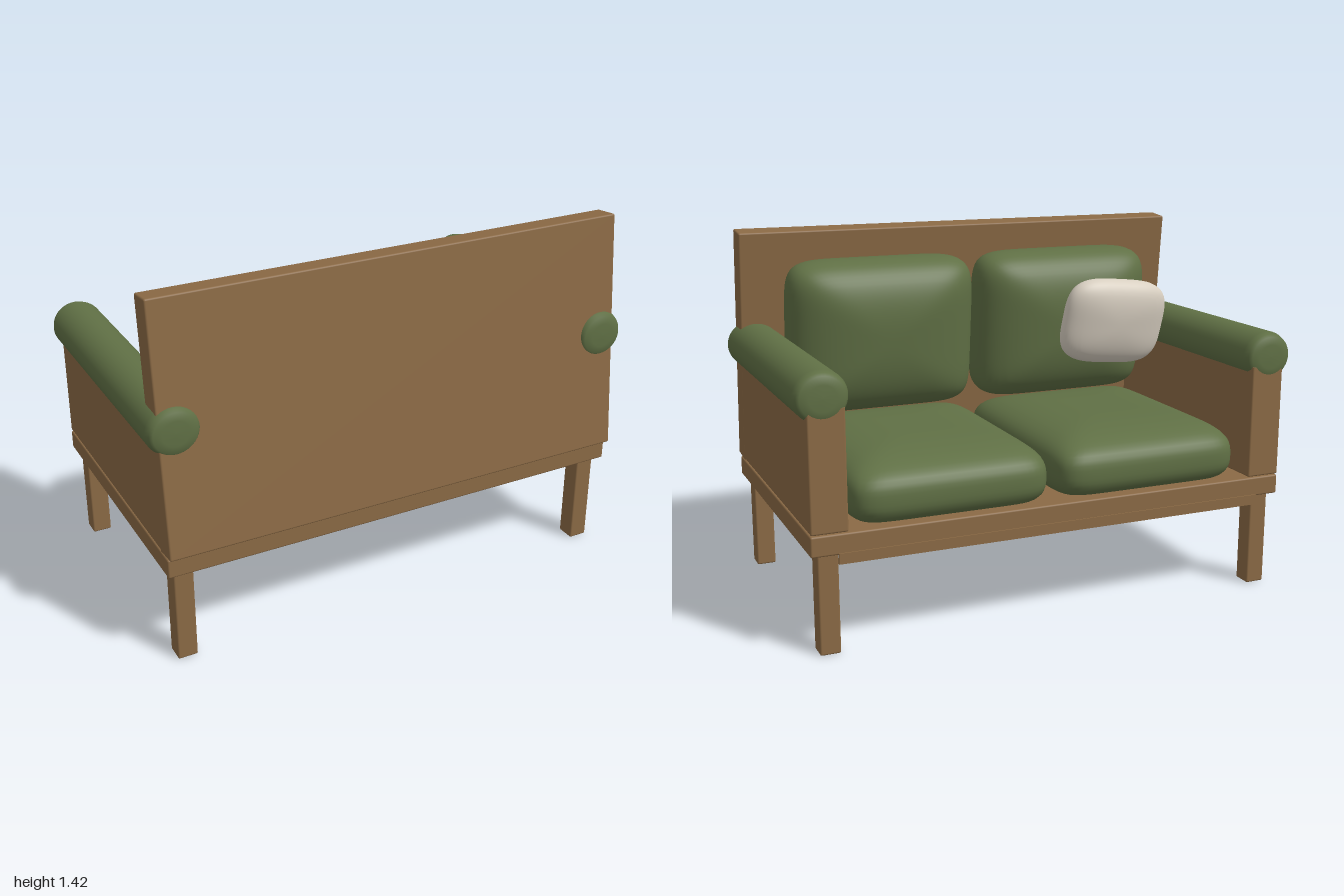
import * as THREE from 'three';
import { mergeVertices } from 'three/addons/utils/BufferGeometryUtils.js';
import { RoundedBoxGeometry } from 'three/addons/geometries/RoundedBoxGeometry.js';

export function createModel() {
  const wood = new THREE.MeshStandardMaterial({ name: 'wood', color: 0x8b6a45 });
  const green = new THREE.MeshStandardMaterial({ name: 'greenFabric', color: 0x607045 });
  const cream = new THREE.MeshStandardMaterial({ name: 'creamFabric', color: 0xd8cfc1 });

  const sofa = new THREE.Group();
  sofa.name = 'sofa';

  function add(parent, name, geometry, material, x, y, z) {
    const mesh = new THREE.Mesh(geometry, material);
    mesh.name = name;
    mesh.position.set(x, y, z);
    parent.add(mesh);
    return mesh;
  }

  // Wooden board with slightly softened edges
  const board = (w, h, d) => new RoundedBoxGeometry(w, h, d, 2, 0.007);

  // Stuffed cushion: outline exponent a in the x-y plane, thickness exponent b along z
  function cushion(w, h, d, a, b) {
    let geo = new THREE.BoxGeometry(2, 2, 2, 28, 28, 16);
    geo.deleteAttribute('uv');
    geo.deleteAttribute('normal');
    geo = mergeVertices(geo);
    const p = geo.attributes.position;
    for (let i = 0; i < p.count; i++) {
      const x = p.getX(i), y = p.getY(i), z = p.getZ(i);
      const plan = Math.pow(Math.abs(x) ** a + Math.abs(y) ** a, b / a);
      const r = Math.pow(plan + Math.abs(z) ** b, 1 / b);
      p.setXYZ(i, (x / r) * w / 2, (y / r) * h / 2, (z / r) * d / 2);
    }
    geo.computeVertexNormals();
    return geo;
  }

  // Base platform and thin rail under its open edge
  add(sofa, 'base', board(1.92, 0.077, 1.12), wood, 0, 0.417, -0.01);
  add(sofa, 'rail', new THREE.BoxGeometry(1.72, 0.04, 0.014), wood, 0, 0.365, -0.568);

  // Padded arm roll, softened at both ends
  const armProfile = [[0, -0.563], [0.05, -0.562], [0.082, -0.558], [0.092, -0.545], [0.1, -0.52],
    [0.1, 0.52], [0.092, 0.545], [0.082, 0.558], [0.05, 0.562], [0, 0.563]]
    .map(([r, l]) => new THREE.Vector2(r, l));
  const armGeo = new THREE.LatheGeometry(armProfile, 40);
  armGeo.rotateX(Math.PI / 2);
  armGeo.scale(1, 0.95, 1);

  // Parts mirrored on both sides
  for (const side of [-1, 1]) {
    const label = side > 0 ? 'left' : 'right';
    for (const z of [0.482, -0.508]) {
      add(sofa, label + 'Leg', board(0.077, 0.385, 0.077), wood, side * 0.893, 0.1925, z);
    }
    add(sofa, label + 'SidePanel', board(0.137, 0.45, 1.07), wood, side * 0.89, 0.685, -0.037);
    add(sofa, label + 'Arm', armGeo, green, side * 0.899, 0.942, -0.013);
    const seat = add(sofa, label + 'SeatCushion', cushion(0.785, 0.99, 0.29, 9, 3),
      green, side * 0.405, 0.545, -0.06);
    seat.rotation.x = -Math.PI / 2;
  }

  // Leaning backrest with its two cushions
  const back = new THREE.Group();
  back.name = 'back';
  back.position.set(0, 0.936, 0.482);
  back.rotation.x = -0.1;
  sofa.add(back);
  add(back, 'backrest', board(1.92, 0.955, 0.1), wood, 0, 0, 0);
  for (const side of [-1, 1]) {
    add(back, side > 0 ? 'leftBackCushion' : 'rightBackCushion',
      cushion(0.785, 0.63, 0.37, 7, 2.5), green, side * 0.405, 0.06, -0.14);
  }

  // Loose throw pillow
  const pillow = add(sofa, 'throwPillow', cushion(0.47, 0.37, 0.16, 3.6, 2.3), cream, -0.56, 1.0, 0.1);
  pillow.rotation.set(-0.2, 0, 0.1);

  return sofa;
}
